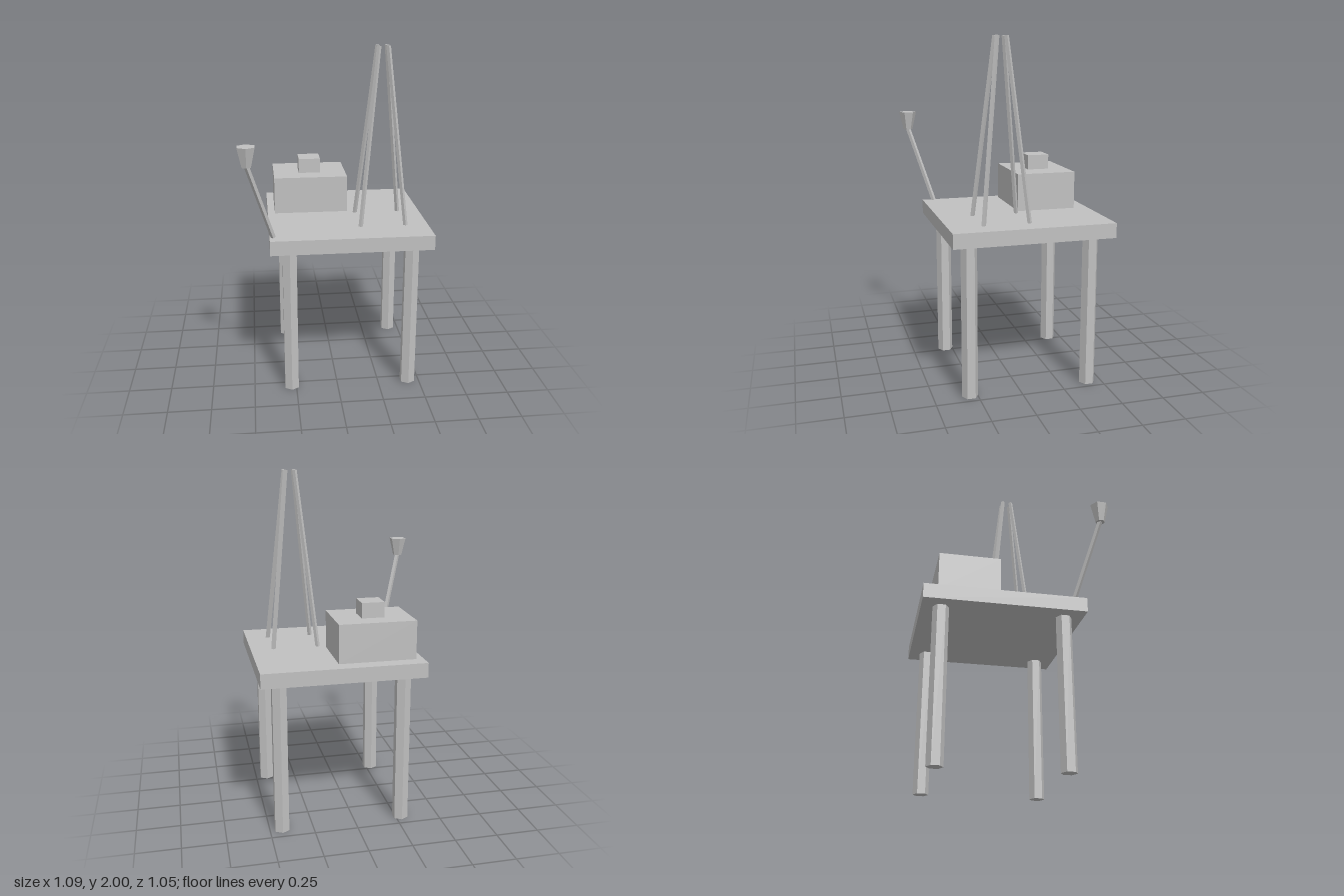
import * as THREE from 'three';

export function createModel() {
  const model = new THREE.Group();
  const grey = new THREE.MeshStandardMaterial({ color: 0xc0c0c0 });
  grey.name = 'plain grey';
  grey.flatShading = true;

  const add = (name, geometry, x, y, z) => {
    const mesh = new THREE.Mesh(geometry, grey);
    mesh.name = name;
    mesh.position.set(x, y, z);
    model.add(mesh);
    return mesh;
  };

  // Square-section rod between two points, one pair of sides kept upright
  const addRod = (name, from, to, width) => {
    const d = to.clone().sub(from);
    const mid = from.clone().add(to).multiplyScalar(0.5);
    const rod = add(name, new THREE.BoxGeometry(width, d.length(), width), mid.x, mid.y, mid.z);
    rod.rotation.order = 'YXZ';
    rod.rotation.y = Math.atan2(d.x, d.z);
    rod.rotation.x = Math.atan2(Math.hypot(d.x, d.z), d.y);
  };

  // Deck
  const cx = 0.077, cz = -0.061;
  add('deck', new THREE.BoxGeometry(0.93, 0.085, 0.93), cx, 0.9375, cz);

  // Hexagonal legs and the four leaning mast poles
  const legGeometry = new THREE.CylinderGeometry(0.0465, 0.0465, 0.9, 6);
  const mastX = 0.277, mastZ = 0.071;
  for (const sx of [-1, 1]) {
    for (const sz of [-1, 1]) {
      add('leg', legGeometry, cx + sx * 0.354, 0.45, cz + sz * 0.354);
      addRod('mastPole',
        new THREE.Vector3(mastX + sx * 0.132, 0.978, mastZ + sz * 0.132),
        new THREE.Vector3(mastX + sx * 0.0265, 1.999, mastZ + sz * 0.0265), 0.0185);
    }
  }

  // Cabin with a small roof box
  add('cabin', new THREE.BoxGeometry(0.444, 0.222, 0.355), -0.122, 1.091, -0.264);
  add('roofBox', new THREE.BoxGeometry(0.132, 0.088, 0.132), -0.122, 1.246, -0.262);

  // Corner arm carrying a flared hexagonal lamp
  addRod('lampArm', new THREE.Vector3(-0.367, 0.98, 0.336), new THREE.Vector3(-0.5, 1.43, 0.469), 0.02);
  add('lamp', new THREE.CylinderGeometry(0.054, 0.028, 0.11, 6), -0.5, 1.479, 0.469);

  return model;
}
